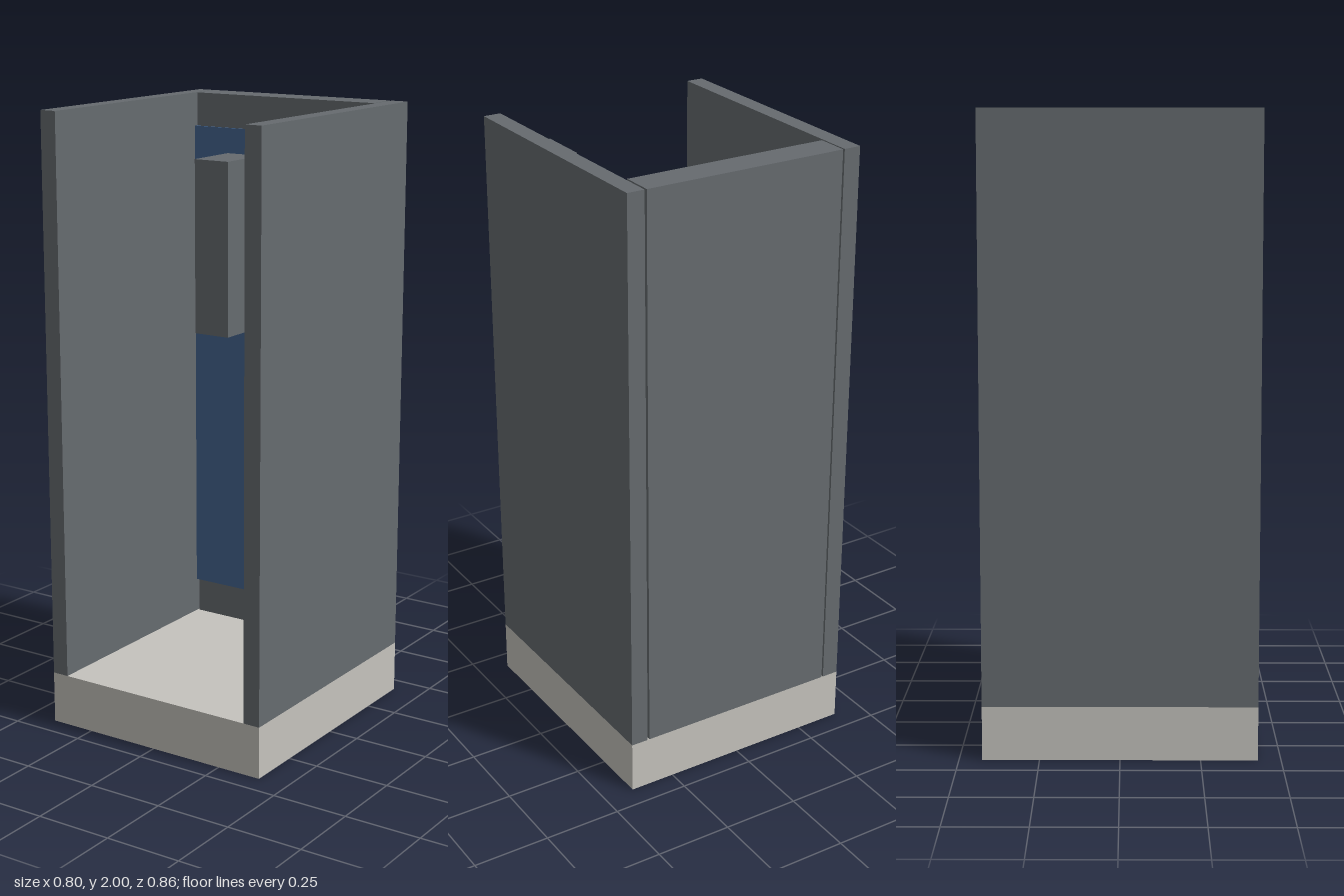
import * as THREE from 'three';

const material = (name, color, side = THREE.FrontSide) => {
  const m = new THREE.MeshStandardMaterial({ color, side });
  m.name = name;
  return m;
};

// Box given by its minimum and maximum corner
function block(name, mat, [x0, y0, z0], [x1, y1, z1]) {
  const geometry = new THREE.BoxGeometry(x1 - x0, y1 - y0, z1 - z0);
  geometry.translate((x0 + x1) / 2, (y0 + y1) / 2, (z0 + z1) / 2);
  const mesh = new THREE.Mesh(geometry, mat);
  mesh.name = name;
  return mesh;
}

export function createModel() {
  const grey = material('slate grey', 0x666b6f);
  const blue = material('panel blue', 0x44658f);
  const stone = material('pale stone', 0xc5c3bd, THREE.DoubleSide);
  const floorY = 0.17, topY = 2, depth = 0.428;

  // Hollow plinth: a box shell open underneath
  const base = block('base', stone, [-0.4, 0, -depth], [0.4, floorY, depth]);
  const index = Array.from(base.geometry.index.array);
  index.splice(18, 6); // bottom face
  base.geometry.setIndex(index);
  base.geometry.clearGroups();

  const group = new THREE.Group();
  group.name = 'booth';
  group.add(
    base,
    // Side walls
    block('leftWall', grey, [0.343, floorY, -depth], [0.4, topY, depth]),
    block('rightWall', grey, [-0.4, floorY, -depth], [-0.344, topY, depth]),
    // Back wall, with a narrow gap on each side
    block('backWall', grey, [-0.338, floorY, -depth], [0.336, topY, -0.323]),
    // Coloured panel standing just proud of the back wall
    block('backPanel', blue, [-0.344, 0.287, -0.373], [0.343, 1.89, -0.316]),
    // Box hanging at the front
    block('frontBox', grey, [0.17, 1.375, 0.256], [0.285, 1.89, depth]),
  );
  return group;
}
